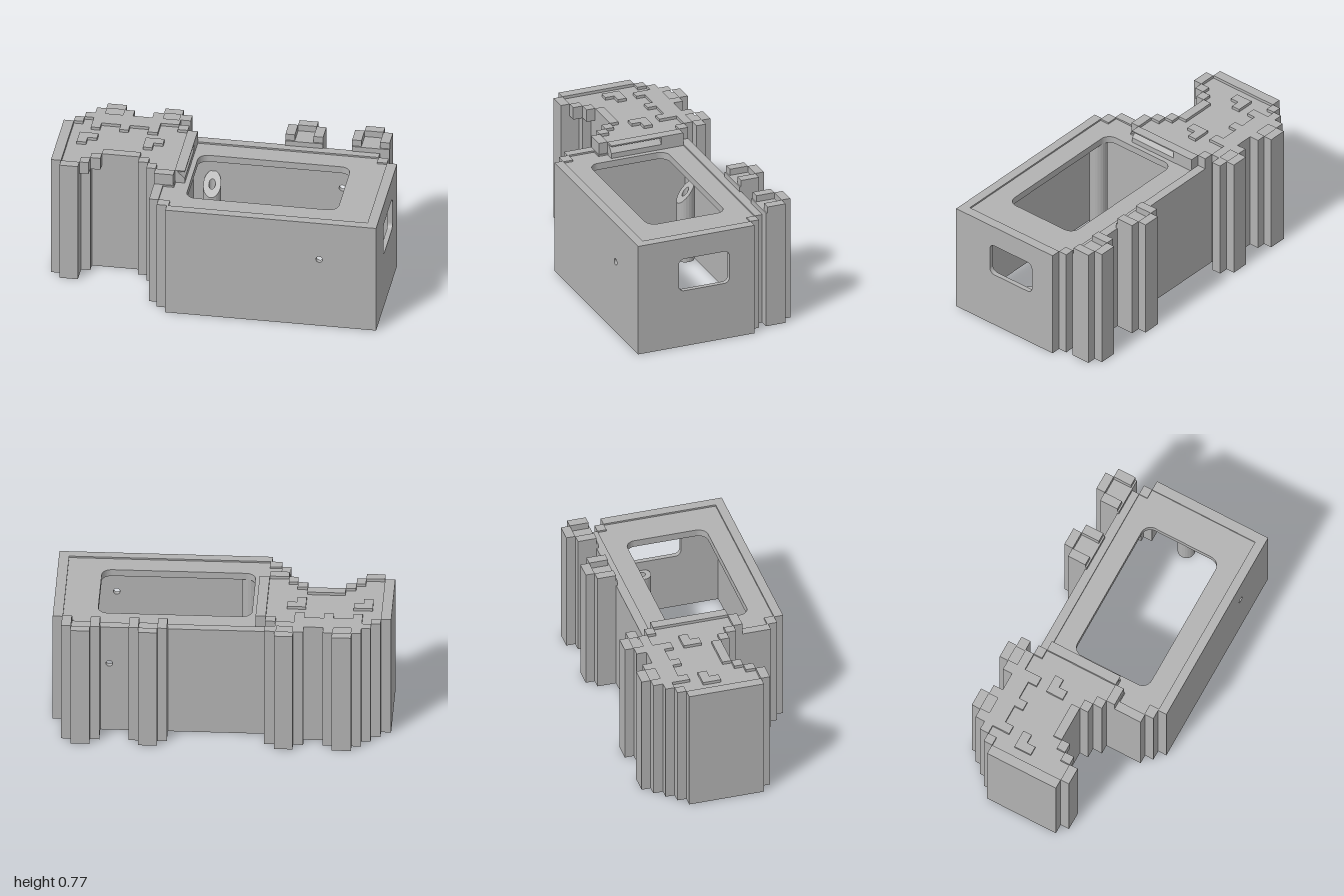
import * as THREE from 'three';

const gray = new THREE.MeshStandardMaterial({ color: 0xb2b2b2 });
gray.name = 'grey plastic';

// Closed path from [a, b] points
function trace(path, pts, flip = 1) {
  pts.forEach(([a, b], i) => (i ? path.lineTo(a, flip * b) : path.moveTo(a, flip * b)));
  path.closePath();
  return path;
}

// Rounded rectangle hole
function roundHole(a0, a1, b0, b1, r) {
  const p = new THREE.Path();
  p.absarc(a1 - r, b1 - r, r, 0, Math.PI / 2);
  p.absarc(a0 + r, b1 - r, r, Math.PI / 2, Math.PI);
  p.absarc(a0 + r, b0 + r, r, Math.PI, Math.PI * 1.5);
  p.absarc(a1 - r, b0 + r, r, Math.PI * 1.5, Math.PI * 2);
  p.closePath();
  return p;
}

function circleHole(a, b, r) {
  return new THREE.Path().absarc(a, b, r, 0, Math.PI * 2);
}

const rect = (a0, a1, b0, b1) => [[a0, b0], [a1, b0], [a1, b1], [a0, b1]];

export function createModel() {
  const model = new THREE.Group();
  model.name = 'model';

  const add = (name, geometry) => {
    const mesh = new THREE.Mesh(geometry, gray);
    mesh.name = name;
    model.add(mesh);
    return mesh;
  };
  const extrude = (shape, depth) =>
    new THREE.ExtrudeGeometry(shape, { depth, bevelEnabled: false, curveSegments: 10 });

  // Floor-plan outline ([x, z] points) raised from y0 to y1
  const plan = (name, pts, y0, y1, holes = []) => {
    const shape = trace(new THREE.Shape(), pts, -1);
    shape.holes.push(...holes);
    return add(name, extrude(shape, y1 - y0).rotateX(-Math.PI / 2).translate(0, y0, 0));
  };
  const block = (name, x0, x1, z0, z1, y0, y1) =>
    add(name, new THREE.BoxGeometry(x1 - x0, y1 - y0, z1 - z0)
      .translate((x0 + x1) / 2, (y0 + y1) / 2, (z0 + z1) / 2));

  // ---- Hollow body, open underneath ----
  const T = 0.03, TOP = 0.703, DECK = 0.65;
  const wall = (x0, x1) => {
    const s = trace(new THREE.Shape(), rect(x0, x1, 0, DECK));
    s.holes.push(circleHole(0.66, 0.455, 0.02));
    return extrude(s, T);
  };
  add('frontWall', wall(-0.26, 1).translate(0, 0, 0.51 - T));
  add('backWall', wall(-0.26, 0.88).translate(0, 0, -0.345));

  // Side wall with its rounded window
  const side = trace(new THREE.Shape(), rect(-0.51, 0.235, 0, DECK));
  side.holes.push(roundHole(-0.25, 0.075, 0.36, 0.568, 0.035));
  add('windowWall', extrude(side, T).rotateY(Math.PI / 2).translate(1 - T, 0, 0));

  // Stepped corner and the side next to the head
  block('cornerStep', 0.88, 0.94, -0.29, -0.235 + T, 0, DECK);
  block('cornerStep', 0.94 - T, 1, -0.235, -0.235 + T, 0, DECK);
  block('cornerStep', 0.88 - T, 0.88, -0.345, -0.29 + T, 0, DECK);
  block('headSideWall', -0.26, -0.26 + T, -0.345, 0.51, 0, DECK);
  block('tailStep', -0.375, -0.26, 0.225, 0.4, 0, DECK);
  block('tailStep', -0.32, -0.26, 0.4, 0.455, 0, DECK);

  // Deck panel with the large opening, inside a slightly higher rim
  const outline = [[-0.26, 0.51], [1, 0.51], [1, -0.235], [0.94, -0.235], [0.94, -0.29],
    [0.88, -0.29], [0.88, -0.345], [-0.26, -0.345], [-0.26, 0.225], [-0.375, 0.225],
    [-0.375, 0.4], [-0.32, 0.4], [-0.32, 0.455], [-0.26, 0.455]];
  const panel = [[-0.26, 0.455], [0.94, 0.455], [0.94, -0.235], [0.88, -0.235], [0.88, -0.29],
    [-0.2, -0.29], [-0.2, 0.17], [-0.255, 0.17], [-0.255, 0.23], [-0.32, 0.23],
    [-0.32, 0.395], [-0.26, 0.395]];
  const opening = () => roundHole(-0.17, 0.738, -0.33, 0.165, 0.06);
  plan('deck', outline, DECK, TOP - 0.01, [opening()]);
  const inner = panel.map(([x, z]) => [x, z]);
  inner[0] = [-0.25, 0.455];
  inner[11] = [-0.25, 0.395];
  plan('rim', outline, TOP - 0.01, TOP, [trace(new THREE.Path(), inner, -1)]);

  // ---- Screw posts inside the body ----
  const post = (x, z, height, slope) => {
    const s = new THREE.Shape().absarc(0, 0, 0.053, 0, Math.PI * 2);
    s.holes.push(circleHole(0, 0, 0.02));
    const g = extrude(s, height).rotateX(-Math.PI / 2);
    const p = g.attributes.position;
    for (let i = 0; i < p.count; i++) {
      if (p.getY(i) > height / 2) p.setY(i, height - slope * (p.getZ(i) + 0.053));
    }
    g.computeVertexNormals();
    add('screwPost', g.translate(x, 0, z));
  };
  post(-0.14, 0.38, DECK, 0);
  post(-0.11, -0.265, 0.5, 1.2);
  post(0.93, 0.0, 0.3, 0);

  // ---- Two feet behind the body, each with a sunken middle ----
  for (const x of [0.315, 0.713]) {
    plan('foot', [[x, -0.335], [x, -0.46], [x + 0.056, -0.46], [x + 0.056, -0.515],
      [x + 0.168, -0.515], [x + 0.168, -0.46], [x + 0.225, -0.46], [x + 0.225, -0.335]], 0, 0.735);
    block('footRim', x, x + 0.056, -0.46, -0.345, 0.69, 0.775);
    block('footRim', x + 0.168, x + 0.225, -0.46, -0.345, 0.69, 0.775);
    block('footRim', x + 0.056, x + 0.168, -0.515, -0.46, 0.69, 0.775);
  }

  // ---- Head: solid stepped silhouette ----
  const FACE = 0.757, HIGH = 0.775;
  const ears = [[-0.885, -0.345], [-0.885, -0.4], [-0.83, -0.4], [-0.83, -0.46], [-0.775, -0.46],
    [-0.775, -0.515], [-0.66, -0.515], [-0.66, -0.46], [-0.605, -0.46], [-0.605, -0.4],
    [-0.49, -0.4], [-0.49, -0.46], [-0.43, -0.46], [-0.43, -0.515], [-0.32, -0.515],
    [-0.32, -0.46], [-0.26, -0.46], [-0.26, -0.4], [-0.32, -0.4], [-0.32, -0.345]];
  const chin = [[-0.26, -0.345], [-0.26, 0.225], [-0.375, 0.225], [-0.375, 0.17], [-0.43, 0.17],
    [-0.43, 0.11], [-0.49, 0.11], [-0.49, 0.055], [-0.715, 0.055], [-0.775, 0.055],
    [-0.775, 0.11], [-0.83, 0.11], [-0.83, 0.225], [-0.94, 0.225], [-0.94, 0.17],
    [-1, 0.17], [-1, -0.29], [-0.94, -0.29], [-0.94, -0.345]];
  plan('head', [...ears, ...chin], 0, FACE);

  // Raised top of the head with drips, and sunken ear centres
  const drips = [[-0.43, -0.345], [-0.43, -0.235], [-0.49, -0.235], [-0.49, -0.29],
    [-0.605, -0.29], [-0.605, -0.235], [-0.66, -0.235], [-0.66, -0.29], [-0.775, -0.29],
    [-0.775, -0.235], [-0.83, -0.235], [-0.83, -0.345]];
  const earHole = (x0, x1) => trace(new THREE.Path(), rect(x0, x1, -0.46, -0.4), -1);
  plan('browRelief', [...ears, ...drips], FACE, HIGH,
    [earHole(-0.77, -0.665), earHole(-0.425, -0.33)]);

  // Raised outline blocks round the face
  for (const [x0, x1, z0, z1] of [
    [-0.94, -0.885, -0.345, -0.29], [-0.32, -0.26, -0.345, -0.29], [-1, -0.94, -0.29, 0.17],
    [-0.94, -0.83, 0.17, 0.225], [-0.83, -0.775, 0.11, 0.17], [-0.775, -0.715, 0.055, 0.11],
    [-0.715, -0.49, 0, 0.055], [-0.49, -0.43, 0.055, 0.11], [-0.43, -0.375, 0.11, 0.17],
    [-0.375, -0.26, 0.17, 0.225],
  ]) block('faceOutline', x0, x1, z0, z1, FACE - 0.06, HIGH);

  // L-shaped eyes
  for (const x of [-0.885, -0.49]) {
    plan('eye', [[x, -0.17], [x + 0.112, -0.17], [x + 0.112, -0.115], [x + 0.056, -0.115],
      [x + 0.056, -0.06], [x, -0.06]], FACE, HIGH);
  }

  // Edge strip above the deck with an undercut groove
  const groove = [[-0.26, 0.69], [-0.2, 0.69], [-0.2, 0.725], [-0.245, 0.767], [-0.2, 0.767],
    [-0.2, HIGH], [-0.26, HIGH]];
  add('groovedStrip', extrude(trace(new THREE.Shape(), groove), 0.32).translate(0, 0, -0.15));
  block('stripEnd', -0.26, -0.2, -0.29, -0.15, 0.69, HIGH);

  return model;
}
